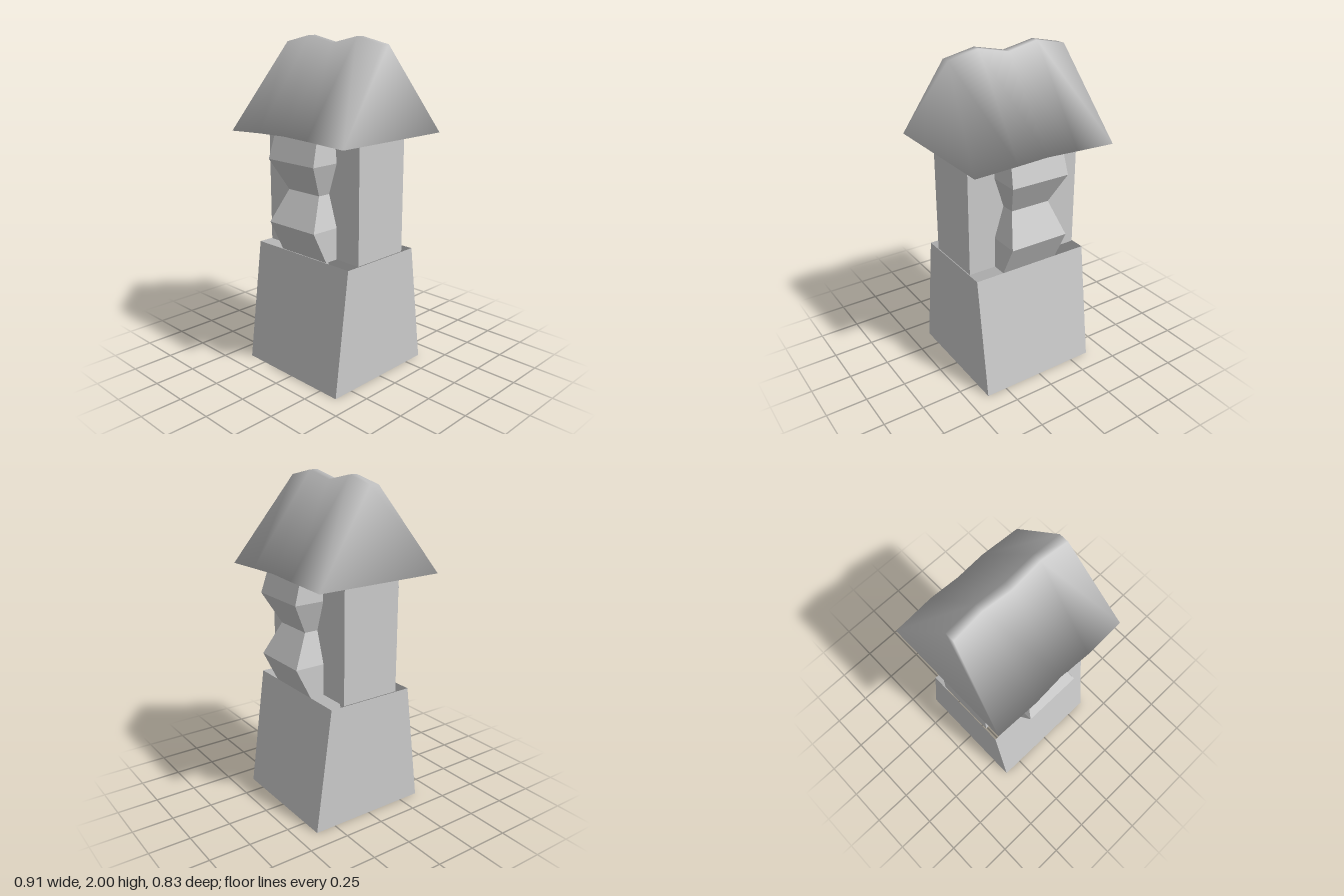
import * as THREE from 'three';

// Skins a row of four-cornered rings; corners are shared so normals can run smooth
function loft(rings, capped) {
  const index = [];
  for (let r = 0; r < rings.length - 1; r++) {
    for (let i = 0; i < 4; i++) {
      const j = (i + 1) % 4;
      const a = r * 4 + i, b = r * 4 + j, c = b + 4, d = a + 4;
      index.push(a, b, c, a, c, d);
    }
  }
  if (capped) {
    const n = (rings.length - 1) * 4;
    index.push(2, 1, 0, 3, 2, 0, n, n + 1, n + 2, n, n + 2, n + 3);
  }
  const geometry = new THREE.BufferGeometry();
  geometry.setAttribute('position', new THREE.Float32BufferAttribute(rings.flat(2), 3));
  geometry.setIndex(index);
  geometry.computeVertexNormals();
  return geometry;
}

// Horizontal rectangle at height y
const level = (y, x0, x1, z0, z1) => [[x0, y, z1], [x1, y, z1], [x1, y, z0], [x0, y, z0]];

export function createModel() {
  const group = new THREE.Group();
  const flat = new THREE.MeshStandardMaterial({
    color: 0xcccccc, flatShading: true, side: THREE.DoubleSide,
  });
  const smooth = new THREE.MeshStandardMaterial({ color: 0xcccccc });

  const add = (name, geometry, material) => {
    const mesh = new THREE.Mesh(geometry, material);
    mesh.name = name;
    group.add(mesh);
  };

  // Base: open sleeve whose front and back lean inwards
  add('base', loft([
    level(0, -0.378, 0.378, -0.378, 0.378),
    level(0.75, -0.378, 0.378, -0.275, 0.28),
  ]), flat);

  // Tower shaft
  add('shaft', loft([
    level(0.75, -0.372, 0.372, -0.185, 0.19),
    level(1.468, -0.372, 0.372, -0.185, 0.19),
  ]), flat);

  // Zigzag pillars on front and back: height, left edge, right edge, depth
  const profile = [
    [0.75, -0.17, 0.2, 0.275],
    [0.94, -0.17, 0.2, 0.37],
    [1.13, -0.11, 0.14, 0.27],
    [1.315, -0.17, 0.2, 0.37],
    [1.468, -0.16, 0.185, 0.325],
  ];
  add('frontPillar', loft(profile.map(([y, x0, x1, z]) => level(y, x0, x1, 0.15, z))), flat);
  add('backPillar', loft(profile.map(([y, x0, x1, z]) => level(y, x0, x1, -z, -0.15))), flat);

  // Sagging roof: eave x, y, z then ridge x, y, half width at each station
  const stations = [
    [-0.457, 1.45, 0.405, -0.377, 1.96, 0.028],
    [-0.195, 1.465, 0.415, -0.19, 2, 0.025],
    [0, 1.468, 0.404, 0, 1.96, 0.028],
    [0.195, 1.465, 0.415, 0.19, 2, 0.025],
    [0.457, 1.45, 0.405, 0.377, 1.96, 0.028],
  ];
  add('roof', loft(stations.map(([ex, ey, ez, rx, ry, rz]) => [
    [ex, ey, ez], [ex, ey, -ez], [rx, ry, -rz], [rx, ry, rz],
  ]), true), smooth);

  return group;
}
